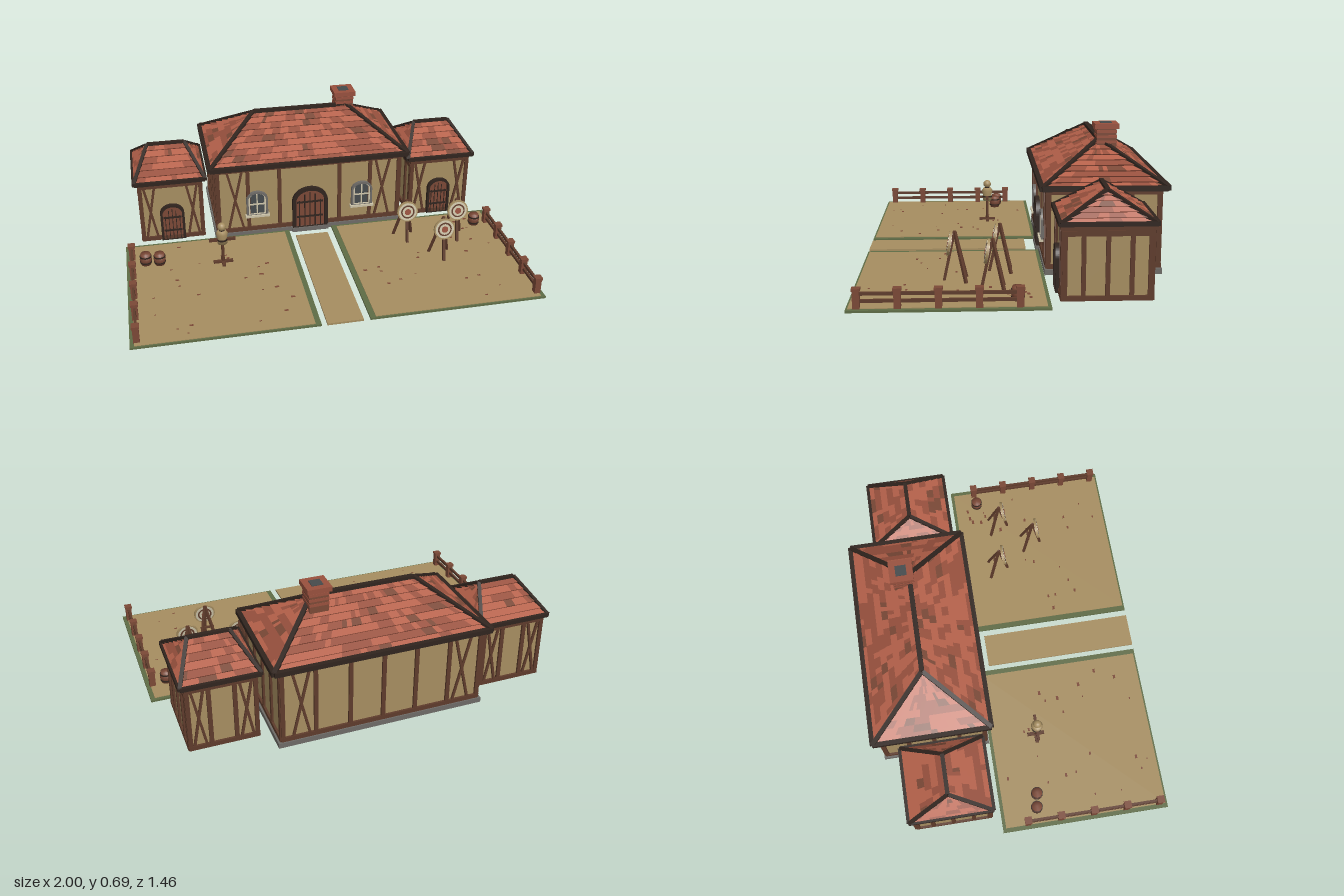
import * as THREE from 'three';

const mat = (name, color) => {
  const m = new THREE.MeshStandardMaterial({ color });
  m.name = name;
  return m;
};
const M = {
  sand: mat('sandPlaster', 0xa58d60),
  timber: mat('timber', 0x5e3b2b),
  dark: mat('darkTimber', 0x30241e),
  tile: mat('roofTile', 0xb5614a),
  tileDark: mat('roofTileDark', 0x97503d),
  grass: mat('grass', 0x5e6b45),
  stone: mat('stone', 0x6d6a66),
  cream: mat('cream', 0xccc3a8),
  slate: mat('slateGlass', 0x454a4c),
  brick: mat('brickAndPlank', 0x7a4836),
};
const V = (x, y, z) => new THREE.Vector3(x, y, z);

let seed = 7;
const rand = () => (seed = (seed * 16807) % 2147483647) / 2147483647;

function add(parent, name, geo, material, x = 0, y = 0, z = 0) {
  const m = new THREE.Mesh(geo, material);
  m.name = name;
  m.position.set(x, y, z);
  parent.add(m);
  return m;
}
const box = (p, name, m, w, h, d, x, y, z) => add(p, name, new THREE.BoxGeometry(w, h, d), m, x, y, z);
const cyl = (p, name, m, r0, r1, h, x, y, z, n = 12) => add(p, name, new THREE.CylinderGeometry(r0, r1, h, n), m, x, y, z);
function group(parent, name, x = 0, y = 0, z = 0, ry = 0) {
  const g = new THREE.Group();
  g.name = name;
  g.position.set(x, y, z);
  g.rotation.y = ry;
  parent.add(g);
  return g;
}
// Square beam between two points
function beam(p, name, m, a, b, w, d = w) {
  const mesh = box(p, name, m, w, d, a.distanceTo(b), 0, 0, 0);
  mesh.position.copy(a).add(b).multiplyScalar(0.5);
  mesh.quaternion.setFromRotationMatrix(new THREE.Matrix4().lookAt(b, a, Math.abs(b.x - a.x) + Math.abs(b.z - a.z) < 1e-5 ? V(0, 0, 1) : V(0, 1, 0)));
  return mesh;
}

// Arched outline standing on y = 0
function arch(hw, h, rise, Kind = THREE.Shape) {
  const s = new Kind();
  s.moveTo(-hw, 0);
  s.lineTo(hw, 0);
  s.lineTo(hw, h - rise);
  s.absellipse(0, h - rise, hw, rise, 0, Math.PI, false);
  s.closePath();
  return s;
}
const extrude = (s, depth) => new THREE.ExtrudeGeometry(s, { depth, bevelEnabled: false, curveSegments: 12 });
function archRing(hw, h, rise, t, depth) {
  const s = arch(hw, h, rise);
  const hole = arch(hw - t, h - 2 * t, rise - t, THREE.Path);
  s.holes.push(new THREE.Path(hole.getPoints(12).map((v) => v.add(new THREE.Vector2(0, t)))));
  return extrude(s, depth);
}

function door(parent, hw, h, x, y, z) {
  const g = group(parent, 'door', x, y, z);
  const s = arch(hw, h, hw * 0.85);
  const t = hw * 0.2;
  s.holes.push(arch(hw - t, h - t, hw * 0.85 - t, THREE.Path));
  add(g, 'doorFrame', extrude(s, 0.022), M.dark);
  add(g, 'doorPlanks', extrude(arch(hw - t, h - t, hw * 0.85 - t), 0.009), M.brick);
  for (let i = -2; i <= 2; i++) box(g, 'plankGap', M.dark, hw * 0.06, h * (0.86 - 0.05 * i * i), 0.004, i * hw * 0.3, h * (0.43 - 0.025 * i * i), 0.01);
  for (const k of [0.25, 0.62]) box(g, 'doorStrap', M.dark, hw * 1.5, 0.01, 0.005, 0, h * k, 0.011);
}

function windowUnit(parent, x, y, z) {
  const g = group(parent, 'window', x, y, z);
  add(g, 'glass', extrude(arch(0.05, 0.14, 0.04), 0.006), M.slate);
  add(g, 'windowSurround', archRing(0.058, 0.148, 0.046, 0.011, 0.018), M.stone);
  add(g, 'windowFrame', archRing(0.047, 0.137, 0.036, 0.008, 0.013), M.cream).position.y = 0.006;
  box(g, 'muntin', M.cream, 0.007, 0.125, 0.006, 0, 0.07, 0.008);
  box(g, 'muntin', M.cream, 0.085, 0.007, 0.006, 0, 0.07, 0.008);
  box(g, 'windowSill', M.cream, 0.13, 0.012, 0.03, 0, 0.004, 0.012);
}

// Half-timbered wall face lying in the local xy plane
function framing(parent, name, w, y0, y1, posts, braces, x, z, ry) {
  const g = group(parent, name, x, 0, z, ry);
  box(g, 'sillBeam', M.timber, w, 0.022, 0.018, 0, y0 + 0.011, 0);
  box(g, 'topBeam', M.timber, w, 0.024, 0.018, 0, y1 - 0.012, 0);
  for (const px of posts) box(g, 'post', M.timber, 0.02, y1 - y0, 0.016, px, (y0 + y1) / 2, 0);
  for (const [a, b] of braces) {
    beam(g, 'brace', M.timber, V(a, y0 + 0.02, 0), V(b, y1 - 0.02, 0), 0.014, 0.012);
    beam(g, 'brace', M.timber, V(b, y0 + 0.02, 0.002), V(a, y1 - 0.02, 0.002), 0.014, 0.012);
  }
}

// One roof slope: bilinear rows of overlapping tiles between four corners
function slope(parent, bl, br, tr, tl, rows, cols) {
  const mats = [M.tile, M.tileDark, M.brick];
  const pos = [[], [], []];
  const n = br.clone().sub(bl).cross(tl.clone().sub(bl)).normalize().multiplyScalar(0.007);
  const at = (u, v) => bl.clone().lerp(br, u).lerp(tl.clone().lerp(tr, u), v);
  for (let r = 0; r < rows; r++) {
    let k = 0, run = 0;
    for (let c = 0; c < cols; c++) {
      if (run-- <= 0) {
        const q = rand();
        k = q < 0.58 ? 0 : q < 0.93 ? 1 : 2;
        run = Math.floor(rand() * 3);
      }
      const [u0, u1, v0, v1] = [c / cols, (c + 1) / cols, r / rows, (r + 1) / rows];
      const a = at(u0, v0), b = at(u1, v0), d = at(u1, v1), e = at(u0, v1);
      const A = a.clone().add(n), B = b.clone().add(n);
      for (const p of [A, B, d, A, d, e, a, b, B, a, B, A]) pos[k].push(p.x, p.y, p.z);
    }
  }
  pos.forEach((p, i) => {
    const geo = new THREE.BufferGeometry();
    geo.setAttribute('position', new THREE.Float32BufferAttribute(p, 3));
    geo.computeVertexNormals();
    add(parent, 'roofTiles', geo, mats[i]);
  });
}

function hipRoof(parent, hx, hz, ridge, y0, y1, rows, cols, endCols, t) {
  const g = group(parent, 'roof');
  const c = [V(-hx, y0, hz), V(hx, y0, hz), V(hx, y0, -hz), V(-hx, y0, -hz)];
  const L = V(-ridge, y1, 0), R = V(ridge, y1, 0);
  slope(g, c[0], c[1], R, L, rows, cols);
  slope(g, c[1], c[2], R, R, rows, endCols);
  slope(g, c[2], c[3], L, R, rows, cols);
  slope(g, c[3], c[0], L, L, rows, endCols);
  box(g, 'soffit', M.timber, hx * 2, 0.01, hz * 2, 0, y0 - 0.006, 0);
  c.forEach((p, i) => {
    beam(g, 'eaveBeam', M.dark, p, c[(i + 1) % 4], t, t);
    beam(g, 'hipBeam', M.dark, p, i === 0 || i === 3 ? L : R, t * 0.9);
  });
  beam(g, 'ridgeBeam', M.dark, L, R, t);
}

function hall(parent) {
  const g = group(parent, 'hall', 0, 0, -0.428);
  box(g, 'foundation', M.stone, 1.04, 0.026, 0.56, 0, 0.013, 0);
  box(g, 'walls', M.sand, 1.0, 0.39, 0.53, 0, 0.22, 0);
  const posts = [-0.495, -0.335, -0.165, 0.165, 0.335, 0.495];
  const braces = [[-0.445, -0.365], [0.365, 0.445]];
  framing(g, 'frontFraming', 1.01, 0.028, 0.41, posts, braces, 0, 0.267, 0);
  framing(g, 'backFraming', 1.01, 0.028, 0.41, [...posts, 0], braces, 0, -0.267, Math.PI);
  for (const s of [-1, 1]) framing(g, 'sideFraming', 0.54, 0.028, 0.41, [-0.26, -0.13, 0, 0.13, 0.26], [], s * 0.502, 0, s * Math.PI / 2);
  hipRoof(g, 0.535, 0.295, 0.257, 0.42, 0.608, 9, 34, 18, 0.024);
  door(g, 0.097, 0.24, 0, 0.026, 0.27);
  box(g, 'doorStep', M.stone, 0.2, 0.024, 0.05, 0, 0.012, 0.27);
  for (const s of [-1, 1]) windowUnit(g, s * 0.289, 0.118, 0.267);
  // Chimney with a flared cap
  const ch = group(g, 'chimney', 0.248, 0, -0.035);
  box(ch, 'chimneyShaft', M.brick, 0.094, 0.17, 0.094, 0, 0.58, 0);
  for (const [y, o] of [[0.6, 0], [0.625, 0.02], [0.65, 0]]) box(ch, 'brickCourse', M.tileDark, 0.098, 0.014, 0.098 - o * 0.05, 0, y, 0);
  box(ch, 'chimneyCap', M.tileDark, 0.118, 0.024, 0.118, 0, 0.676, 0);
  box(ch, 'flue', M.slate, 0.055, 0.006, 0.055, 0, 0.688, 0);
}

function wing(parent, x) {
  const g = group(parent, 'wing', x, 0, -0.39);
  box(g, 'walls', M.sand, 0.32, 0.345, 0.385, 0, 0.177, 0);
  const braces = [[-0.14, -0.083], [0.083, 0.14]];
  framing(g, 'frontFraming', 0.335, 0.008, 0.345, [-0.158, 0.158], braces, 0, 0.195, 0);
  framing(g, 'backFraming', 0.335, 0.008, 0.345, [-0.158, -0.06, 0.06, 0.158], braces, 0, -0.195, Math.PI);
  for (const s of [-1, 1]) framing(g, 'sideFraming', 0.395, 0.008, 0.32, [-0.185, -0.105, 0, 0.105, 0.185], [], s * 0.162, 0, s * Math.PI / 2);
  for (const s of [-1, 1]) box(g, 'wallPlate', M.timber, 0.012, 0.03, 0.39, s * 0.162, 0.335, 0);
  hipRoof(g, 0.185, 0.207, 0.098, 0.354, 0.483, 6, 13, 14, 0.02);
  door(g, 0.064, 0.21, 0, 0.01, 0.194);
}

function yard(parent, s) {
  const g = group(parent, 'yard');
  box(g, 'lawn', M.grass, 0.882, 0.01, 0.87, s * 0.559, 0.005, 0.29);
  box(g, 'sandField', M.sand, 0.834, 0.004, 0.845, s * 0.562, 0.011, 0.294);
  // Scattered earth patches
  for (let i = 0; i < 22; i++) {
    const w = 0.008 + rand() * 0.014;
    box(g, 'earthPatch', M.brick, w, 0.001, w * 0.6, s * (0.19 + rand() * 0.74), 0.0134, -0.08 + rand() * 0.75);
  }
  // Fence
  const f = group(g, 'fence', s * 0.968);
  for (let i = 0; i < 5; i++) {
    const z = -0.012 + i * 0.173;
    box(f, 'fencePost', M.brick, 0.03, 0.092, 0.03, 0, 0.052, z);
    box(f, 'fencePostCap', M.brick, 0.037, 0.012, 0.037, 0, 0.094, z);
  }
  for (const y of [0.042, 0.074]) box(f, 'fenceRail', M.timber, 0.012, 0.014, 0.692, 0, y, 0.334);
}

function barrel(parent, x, z) {
  const g = group(parent, 'barrel', x, 0.012, z);
  const prof = [[0, 0], [0.025, 0], [0.031, 0.032], [0.025, 0.064], [0, 0.064]].map((p) => new THREE.Vector2(...p));
  add(g, 'barrelBody', new THREE.LatheGeometry(prof, 12), M.brick);
  for (const y of [0.016, 0.048]) cyl(g, 'barrelHoop', M.dark, 0.0305, 0.0305, 0.007, 0, y, 0);
}

function target(parent, x, z) {
  const g = group(parent, 'archeryTarget', x, 0.01, z);
  const top = V(0, 0.235, 0.002);
  for (const [lx, lz] of [[-0.05, -0.05], [0.05, -0.05], [0, 0.052]]) beam(g, 'targetLeg', M.timber, top, V(lx, 0.002, lz), 0.013);
  box(g, 'targetCrossbar', M.timber, 0.07, 0.01, 0.01, 0, 0.12, -0.022);
  const d = group(g, 'targetDisc', 0, 0.178, 0.026);
  d.rotation.x = Math.PI / 2 - 0.16;
  [[0.056, M.sand], [0.049, M.cream], [0.037, M.timber], [0.029, M.cream], [0.017, M.tileDark]].forEach(([r, m], i) =>
    cyl(d, 'targetRing', m, r, r, 0.012 + i * 0.002, 0, 0, 0, 20));
}

function dummy(parent, x, z) {
  const g = group(parent, 'trainingDummy', x, 0.012, z);
  box(g, 'dummyFoot', M.timber, 0.1, 0.012, 0.018, 0, 0.006, 0);
  box(g, 'dummyFoot', M.timber, 0.018, 0.012, 0.09, 0, 0.006, 0);
  cyl(g, 'dummyPost', M.timber, 0.008, 0.008, 0.14, 0, 0.07, 0, 8);
  const prof = [[0, 0.115], [0.026, 0.118], [0.024, 0.145], [0.031, 0.175], [0.022, 0.19], [0, 0.193]].map((p) => new THREE.Vector2(...p));
  add(g, 'dummyBody', new THREE.LatheGeometry(prof, 12), M.sand);
  cyl(g, 'dummyBelt', M.dark, 0.027, 0.027, 0.008, 0, 0.14, 0);
  beam(g, 'dummyArms', M.timber, V(-0.068, 0.138, 0), V(0.068, 0.138, 0), 0.014);
  add(g, 'dummyHead', new THREE.SphereGeometry(0.022, 12, 8), M.sand, 0, 0.213, 0);
  cyl(g, 'dummyNeckRope', M.dark, 0.014, 0.014, 0.006, 0, 0.193, 0);
}

export function createModel() {
  seed = 7;
  const root = new THREE.Group();
  root.name = 'trainingGround';
  hall(root);
  for (const s of [-1, 1]) {
    wing(root, s * 0.742);
    yard(root, s);
  }
  box(root, 'path', M.sand, 0.175, 0.01, 0.808, -0.003, 0.005, 0.321);
  for (const [x, z] of [[-0.9, 0.045], [-0.83, 0.057], [0.895, -0.005]]) barrel(root, x, z);
  for (const [x, z] of [[0.48, 0.06], [0.745, 0.1], [0.614, 0.27]]) target(root, x, z);
  dummy(root, -0.508, 0.107);
  return root;
}
